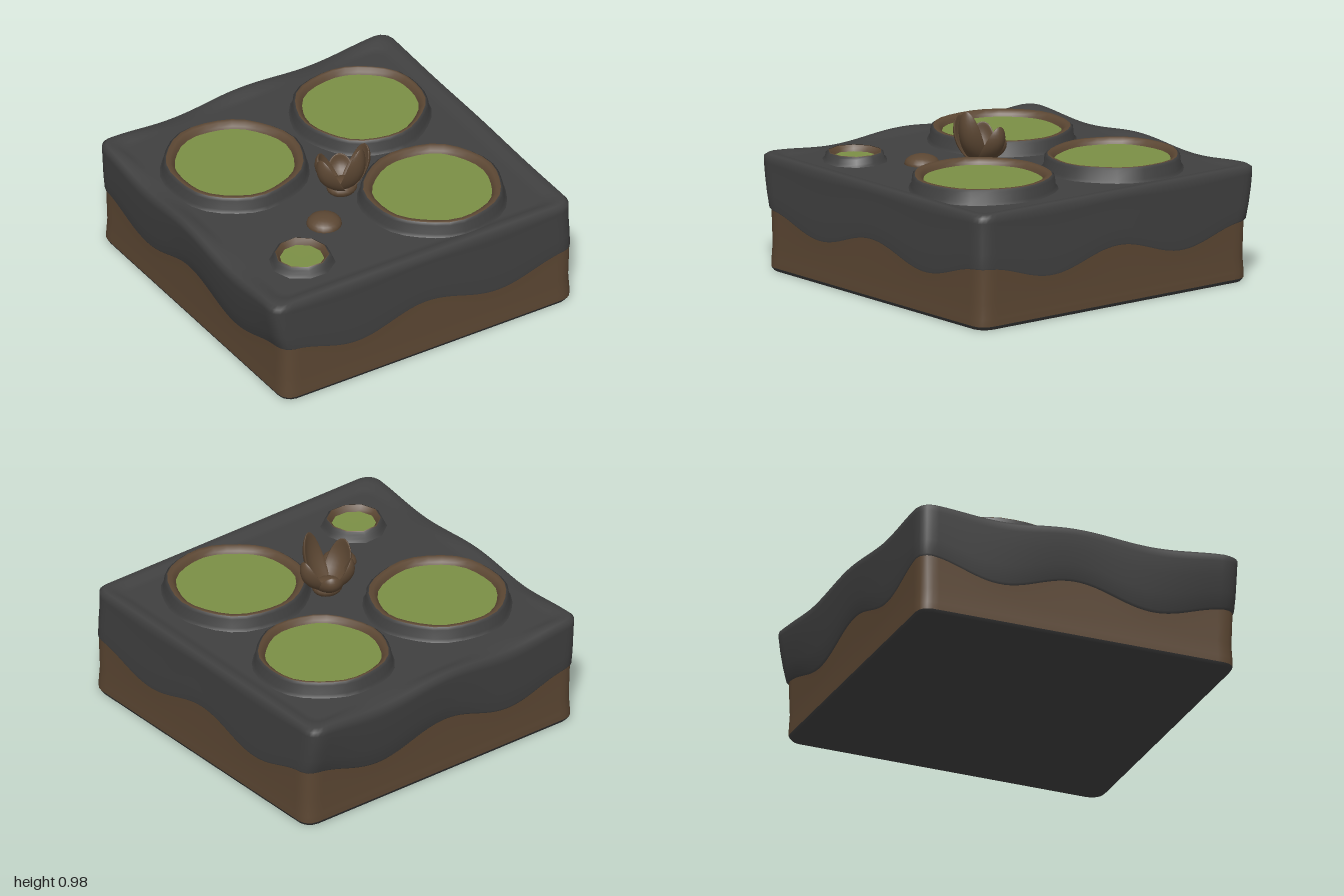
import * as THREE from 'three';

const slate = new THREE.MeshStandardMaterial({ color: 0x404040 });
slate.name = 'dark slate';
const earth = new THREE.MeshStandardMaterial({ color: 0x5c4733 });
earth.name = 'brown earth';
const slime = new THREE.MeshStandardMaterial({ color: 0x7b8f45 });
slime.name = 'green liquid';

const clamp = THREE.MathUtils.clamp;

// Closed rings of n points, joined row by row from bottom to top
function loft(name, material, n, rows, point) {
  const pos = [], idx = [];
  rows.forEach((row, r) => {
    for (let i = 0; i < n; i++) {
      pos.push(...point(i, row));
      if (r === rows.length - 1) continue;
      const a = r * n + i, b = r * n + (i + 1) % n;
      idx.push(a, a + n, b, b, a + n, b + n);
    }
  });
  const g = new THREE.BufferGeometry();
  g.setAttribute('position', new THREE.Float32BufferAttribute(pos, 3));
  g.setIndex(idx);
  g.computeVertexNormals();
  const mesh = new THREE.Mesh(g, material);
  mesh.name = name;
  return mesh;
}

// Unit square outline with rounded corners, starting at +x and turning to +z
const SIDE = 52, N = SIDE * 4, CORNER = 0.08;
function outline(i) {
  const side = Math.floor(i / SIDE), t = (i % SIDE) / SIDE * 2 - 1;
  const [px, pz] = [[1, t], [-t, 1], [-1, -t], [t, -1]][side];
  const lim = 1 - CORNER;
  const qx = clamp(px, -lim, lim), qz = clamp(pz, -lim, lim);
  const dx = px - qx, dz = pz - qz, len = Math.hypot(dx, dz);
  return [qx + dx / len * CORNER, qz + dz / len * CORNER, side % 2 ? px : pz, side];
}

// Block ring: y(wave, sunken), inset from the outline, overhang on back and -x sides
function blockPoint(i, { y, inset = 0, over = 0 }) {
  const [ux, uz, u, side] = outline(i);
  const wave = Math.cos(u * Math.PI * 2 / 0.97);
  const k = 1 - inset;
  const x = k * (ux > 0 ? ux * (0.985 - 0.006 * uz * over) : ux * (0.93 + over * (0.045 + 0.025 * uz)));
  const z = k * (uz > 0 ? uz * 0.985 : uz * (0.94 + over * (0.035 + 0.025 * ux)));
  return [x, y(wave, side > 1 ? 1 : 0), z];
}

function block() {
  const g = new THREE.Group();
  g.name = 'groundBlock';
  const edge = (w) => 0.295 + 0.05 * w;
  const rim = (w, s) => 0.66 - 0.016 * s * (1 - w);
  const between = (f) => (w, s) => THREE.MathUtils.lerp(edge(w), rim(w, s), f);
  g.add(loft('baseUnderside', slate, N, [
    { y: () => 0, inset: 1 }, { y: () => 0, inset: 0.012 }, { y: () => 0.02, inset: 0 },
  ], blockPoint));
  g.add(loft('earthLayer', earth, N, [
    { y: () => 0.02 }, { y: () => 0.06 }, { y: () => 0.15, inset: 0.005 }, { y: edge }, { y: between(0.1) },
  ], blockPoint));
  g.add(loft('stoneLayer', slate, N, [
    { y: edge, over: 0, inset: 0.002 },
    { y: between(0.04), over: 0.18, inset: -0.003 },
    { y: between(0.3), over: 0.5, inset: -0.003 },
    { y: between(0.6), over: 0.85 },
    { y: between(0.85), over: 1 },
    { y: between(0.95), over: 1 },
    { y: rim, over: 0.97, inset: 0.018 },
    { y: rim, over: 0.95, inset: 0.06 },
    { y: () => 0.64, over: 0.9, inset: 0.09 },
    { y: () => 0.635, over: 0.9, inset: 0.13 },
    { y: () => 0.635, inset: 1 },
  ], blockPoint));
  return g;
}

// Round pool: dark outer wall, brown lip and flat liquid
function pool(name, x, z, outer, inner, top, n, seed) {
  const g = new THREE.Group();
  g.name = name;
  g.position.set(x, 0, z);
  const ring = (i, [r, y]) => {
    const a = i / n * Math.PI * 2;
    const k = r * (1 + 0.012 * Math.sin(3 * a + seed) + 0.01 * Math.sin(7 * a + seed * 2));
    return [k * Math.cos(a), y, k * Math.sin(a)];
  };
  g.add(loft('poolWall', slate, n, [
    [outer + 0.02, 0.63], [outer, 0.65], [outer - 0.005, top - 0.015], [outer - 0.02, top - 0.003],
  ], ring));
  g.add(loft('poolLip', earth, n, [
    [outer - 0.014, top - 0.01], [outer - 0.024, top], [inner + 0.025, top - 0.003],
    [inner + 0.006, top - 0.02], [inner - 0.005, top - 0.05],
  ], ring));
  g.add(loft('poolLiquid', slime, n, [[inner + 0.004, top - 0.035], [0, top - 0.037]], ring));
  return g;
}

// Petal: a sphere flattened along a curve that swells outwards, then rises to its tip
function petal(base, tip, width) {
  const out = new THREE.Vector3(tip.x - base.x, 0, tip.z - base.z).normalize();
  const side = new THREE.Vector3(out.z, 0, -out.x);
  const mid = tip.clone().addScaledVector(out, 0.04);
  mid.y = THREE.MathUtils.lerp(base.y, tip.y, 0.35);
  const curve = new THREE.QuadraticBezierCurve3(base, mid, tip);
  const g = new THREE.SphereGeometry(1, 20, 16), p = g.attributes.position;
  for (let i = 0; i < p.count; i++) {
    const x = p.getX(i), t = clamp((p.getY(i) + 1) / 2, 0, 1), z = p.getZ(i);
    const v = curve.getPoint(t)
      .addScaledVector(side, x * width)
      .addScaledVector(out, z * 0.018 - x * x * 0.045);
    p.setXYZ(i, v.x, v.y, v.z);
  }
  g.computeVertexNormals();
  const mesh = new THREE.Mesh(g, earth);
  mesh.name = 'petal';
  return mesh;
}

function flower() {
  const g = new THREE.Group();
  g.name = 'flower';
  const base = new THREE.Vector3(-0.04, 0.65, 0.17);
  [
    [0, 0.975, 0.295, 0.08],
    [-0.185, 0.91, 0.2, 0.085],
    [0.125, 0.89, 0.16, 0.075],
    [-0.13, 0.86, 0.07, 0.075],
    [0.02, 0.8, 0.05, 0.075],
  ].forEach(([x, y, z, w]) => g.add(petal(base, new THREE.Vector3(x, y, z), w)));
  const heart = new THREE.Mesh(new THREE.SphereGeometry(1, 16, 10), earth);
  heart.name = 'flowerBase';
  heart.scale.set(0.09, 0.05, 0.08);
  heart.position.set(-0.04, 0.67, 0.17);
  g.add(heart);
  return g;
}

export function createModel() {
  const model = new THREE.Group();
  model.name = 'swampTile';
  model.add(block());
  model.add(pool('backRightPool', -0.44, -0.32, 0.405, 0.335, 0.72, 30, 1));
  model.add(pool('backLeftPool', 0.445, -0.4, 0.385, 0.325, 0.72, 30, 2.3));
  model.add(pool('frontLeftPool', 0.365, 0.48, 0.405, 0.335, 0.72, 30, 4));
  model.add(pool('smallPool', -0.59, 0.62, 0.172, 0.125, 0.69, 10, 5));

  const mound = new THREE.Mesh(new THREE.SphereGeometry(1, 20, 12), earth);
  mound.name = 'mound';
  mound.scale.set(0.1, 0.055, 0.1);
  mound.position.set(-0.29, 0.635, 0.38);
  model.add(mound);

  model.add(flower());
  return model;
}
